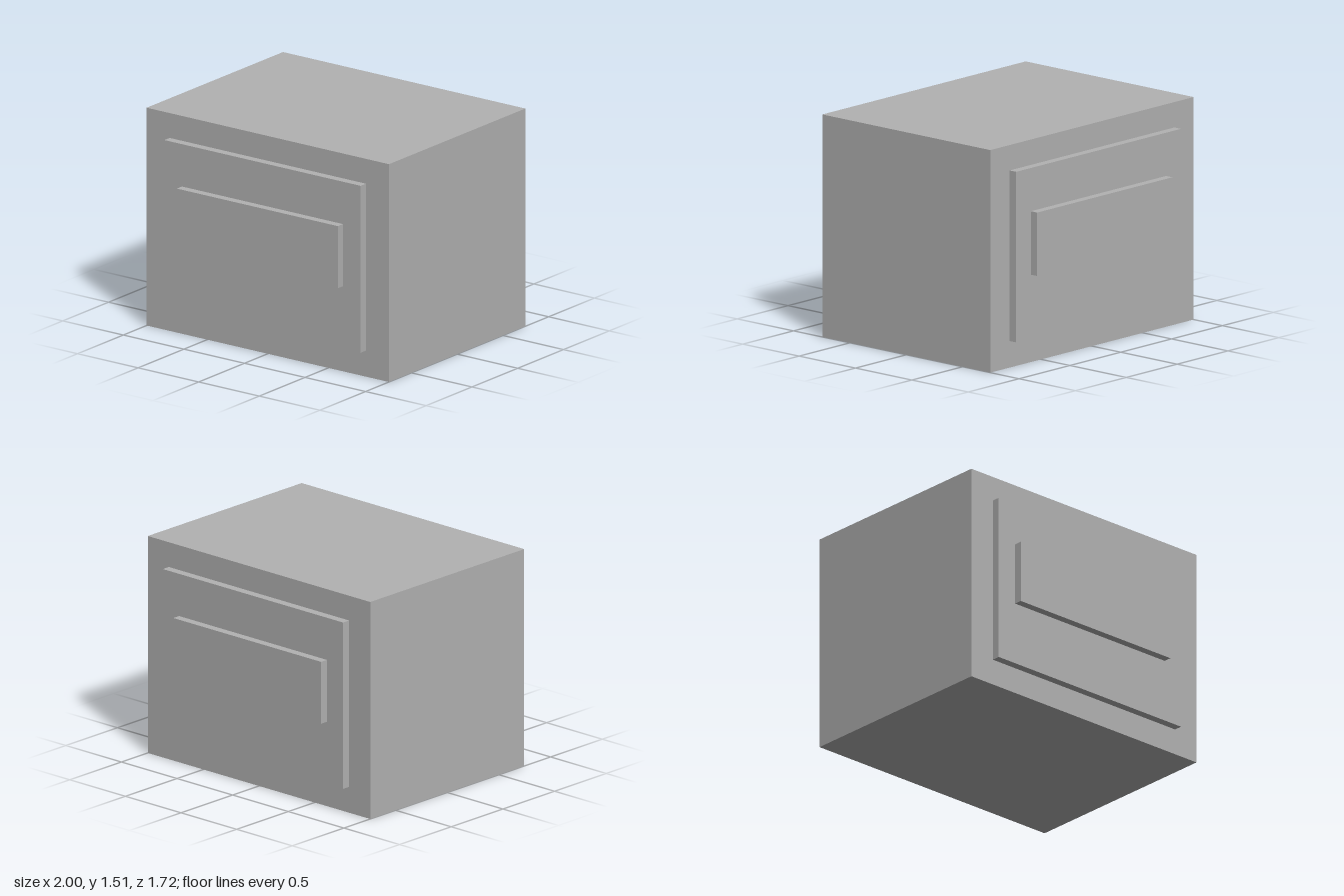
import * as THREE from 'three';

const grey = new THREE.MeshStandardMaterial({ color: 0xb2b2b2 });
grey.name = 'grey';

// Box spanning y0..y1 and z0..z1, centred on x
function block(name, width, y0, y1, z0, z1) {
  const mesh = new THREE.Mesh(new THREE.BoxGeometry(width, y1 - y0, z1 - z0), grey);
  mesh.name = name;
  mesh.position.set(0, (y0 + y1) / 2, (z0 + z1) / 2);
  return mesh;
}

// Stepped panel: a wide plate carrying a smaller raised plate
function panel(name) {
  const group = new THREE.Group();
  group.name = name;
  group.add(block('outerPlate', 1.62, 0.18, 1.336, 0.745, 0.803));
  group.add(block('innerPlate', 1.33, 0.613, 1.043, 0.803, 0.859));
  return group;
}

export function createModel() {
  const model = new THREE.Group();
  model.name = 'panelledBox';

  // Main body
  model.add(block('body', 2, 0, 1.508, -0.745, 0.745));

  // Matching panels on front and back
  model.add(panel('frontPanel'));
  const back = panel('backPanel');
  back.rotation.y = Math.PI;
  model.add(back);

  return model;
}
